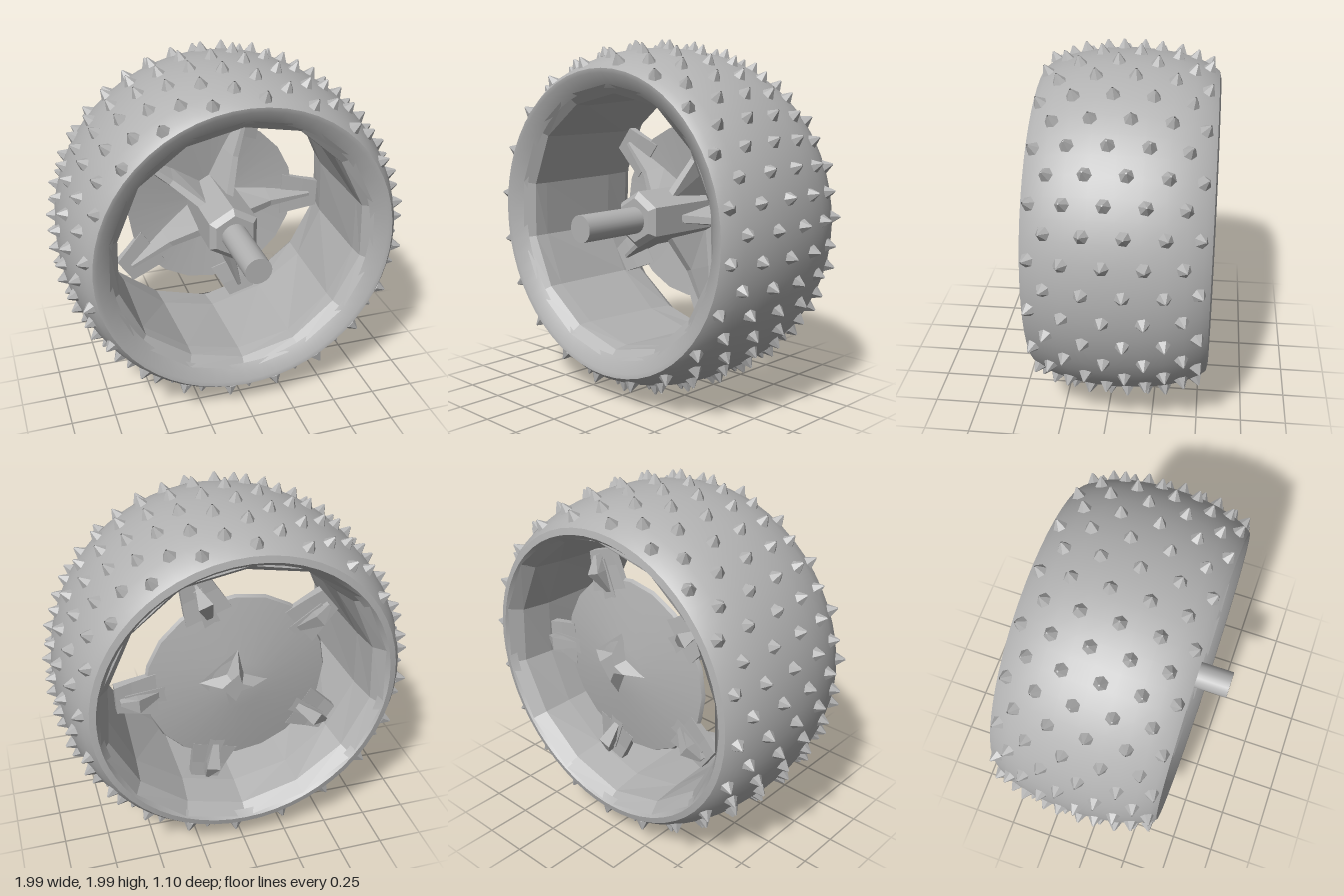
import * as THREE from 'three';
import { mergeGeometries, toCreasedNormals } from 'three/addons/utils/BufferGeometryUtils.js';

const CENTRE_Y = 1;

// Lathe about the z axis from [radius, z] pairs
function latheZ(profile, segments) {
  const pts = profile.map(([r, z]) => new THREE.Vector2(r, z));
  return new THREE.LatheGeometry(pts, segments).rotateX(Math.PI / 2);
}

// Cylinder along z between two depths
function rodZ(radius, z0, z1, sides, frontRadius = radius) {
  return new THREE.CylinderGeometry(frontRadius, radius, z1 - z0, sides)
    .rotateX(Math.PI / 2).translate(0, 0, (z0 + z1) / 2);
}

// Separate faces with one normal each
function faceted(geometry) {
  const flat = geometry.toNonIndexed();
  flat.computeVertexNormals();
  return flat;
}

// Solid spanning cross-section loops that share one point count
function loft(loops) {
  const n = loops[0].length, index = [];
  for (let i = 0; i < loops.length - 1; i++) {
    for (let j = 0; j < n; j++) {
      const a = i * n + j, b = i * n + (j + 1) % n;
      index.push(a, b, b + n, a, b + n, a + n);
    }
  }
  for (let j = 1; j < n - 1; j++) {
    const e = (loops.length - 1) * n;
    index.push(0, j + 1, j, e, e + j, e + j + 1);
  }
  const g = new THREE.BufferGeometry();
  g.setAttribute('position', new THREE.Float32BufferAttribute(loops.flat(2), 3));
  g.setIndex(index);
  return faceted(g);
}

export function createModel() {
  const model = new THREE.Group();
  const wheel = new THREE.Group();
  wheel.name = 'wheel';
  wheel.position.y = CENTRE_Y;
  model.add(wheel);

  const grey = new THREE.MeshStandardMaterial({ color: 0xb2b2b2, side: THREE.DoubleSide });
  grey.name = 'grey';
  const add = (name, geometry, parent = wheel) => {
    const mesh = new THREE.Mesh(geometry, grey);
    mesh.name = name;
    parent.add(mesh);
  };

  // Tyre: rounded tread with a narrow back lip and a broad sloping front lip
  const tread = [[0.835, -0.54], [0.865, -0.5], [0.9, -0.42], [0.928, -0.32], [0.943, -0.2],
    [0.95, -0.07], [0.945, 0.06], [0.928, 0.18], [0.9, 0.28], [0.868, 0.36], [0.84, 0.395]];
  const tyre = latheZ([[0.77, -0.51], [0.8, -0.548], ...tread, [0.815, 0.392], [0.735, 0.335]], 56);
  add('tyre', toCreasedNormals(tyre, 0.6));

  // Radius of the tread at a depth
  const treadRadius = (z) => {
    const i = Math.max(1, tread.findIndex((p) => p[1] >= z));
    const [a, b] = [tread[i - 1], tread[i]];
    return a[0] + (b[0] - a[0]) * (z - a[1]) / (b[1] - a[1]);
  };

  // Squat studs in staggered rows round the tread
  const studs = [];
  const rowDepths = [[0.35, 0.18, -0.02, -0.22, -0.41], [0.27, 0.08, -0.12, -0.32, -0.485]];
  const up = new THREE.Vector3(0, 1, 0);
  for (let row = 0; row < 40; row++) {
    const angle = THREE.MathUtils.degToRad(12 + row * 9);
    for (const z of rowDepths[row % 2]) {
      const slope = (treadRadius(z + 0.02) - treadRadius(z - 0.02)) / 0.04;
      const normal = new THREE.Vector3(Math.cos(angle), Math.sin(angle), -slope).normalize();
      const r = treadRadius(z);
      studs.push(faceted(new THREE.CylinderGeometry(0.005, 0.038, 0.05, 6, 1, true)
        .rotateY(row)
        .translate(0, 0.024, 0)
        .applyQuaternion(new THREE.Quaternion().setFromUnitVectors(up, normal))
        .translate(r * Math.cos(angle), r * Math.sin(angle), z)));
    }
  }
  add('studs', mergeGeometries(studs));

  // Faceted rim barrel with uneven flared edges
  const rim = latheZ([[0.795, -0.54], [0.745, -0.47], [0.72, -0.3], [0.705, 0.22],
    [0.71, 0.3], [0.765, 0.35]], 14);
  const pos = rim.attributes.position;
  for (let i = 0; i < pos.count; i++) {
    const x = pos.getX(i), y = pos.getY(i), z = pos.getZ(i);
    const k = 1 + 0.012 * Math.sin(5 * Math.atan2(y, x) + 7 * z);
    pos.setXY(i, x * k, y * k);
  }
  add('rim', faceted(rim));

  // Shallow dished disc
  const disc = latheZ([[0, -0.39], [0.14, -0.385], [0.5, -0.32], [0.51, -0.3], [0.12, -0.35]], 20);
  add('disc', toCreasedNormals(disc, 0.5));

  // Five spokes: a rib tapering outwards, a flared tab and a pointed fin on the back
  const section = (x, half, back, front, top = 0.35) => [
    [x, -half, back], [x, half, back], [x, half * top, front], [x, -half * top, front]];
  const ribShape = loft([section(0.08, 0.065, -0.37, -0.06), section(0.34, 0.05, -0.34, -0.2),
    section(0.61, 0.025, -0.33, -0.26)]);
  const tabShape = loft([section(0.44, 0.13, -0.33, -0.3, 1), section(0.57, 0.1, -0.32, -0.28, 1),
    section(0.66, 0.08, -0.32, -0.27, 1)]);
  const finShape = loft([section(0.42, 0.015, -0.33, -0.3), section(0.55, 0.04, -0.41, -0.3),
    section(0.64, 0.01, -0.36, -0.3)]);
  for (let i = 0; i < 5; i++) {
    const spoke = new THREE.Group();
    spoke.name = 'spoke';
    spoke.rotation.z = THREE.MathUtils.degToRad(-2 + 72 * i);
    wheel.add(spoke);
    add('spokeRib', ribShape, spoke);
    add('spokeTab', tabShape, spoke);
    add('spokeFin', finShape, spoke);
  }

  // Hexagonal hub with a chamfered nose, and the axle
  add('hub', toCreasedNormals(rodZ(0.16, -0.35, 0.12, 6), 0.4));
  add('hubNose', toCreasedNormals(rodZ(0.16, 0.12, 0.15, 6, 0.125), 0.4));
  add('axle', toCreasedNormals(rodZ(0.075, -0.36, 0.55, 20), 0.6));

  // Star-shaped nut on the back
  const star = (scale, z) => Array.from({ length: 8 }, (_, i) => {
    const r = (i % 2 ? 0.07 : 0.19) * scale, a = i * Math.PI / 4 + 0.1;
    return [0.03 + r * Math.cos(a), 0.03 + r * Math.sin(a), z];
  });
  add('backNut', loft([star(0.45, -0.45), star(1, -0.38)]));

  return model;
}
